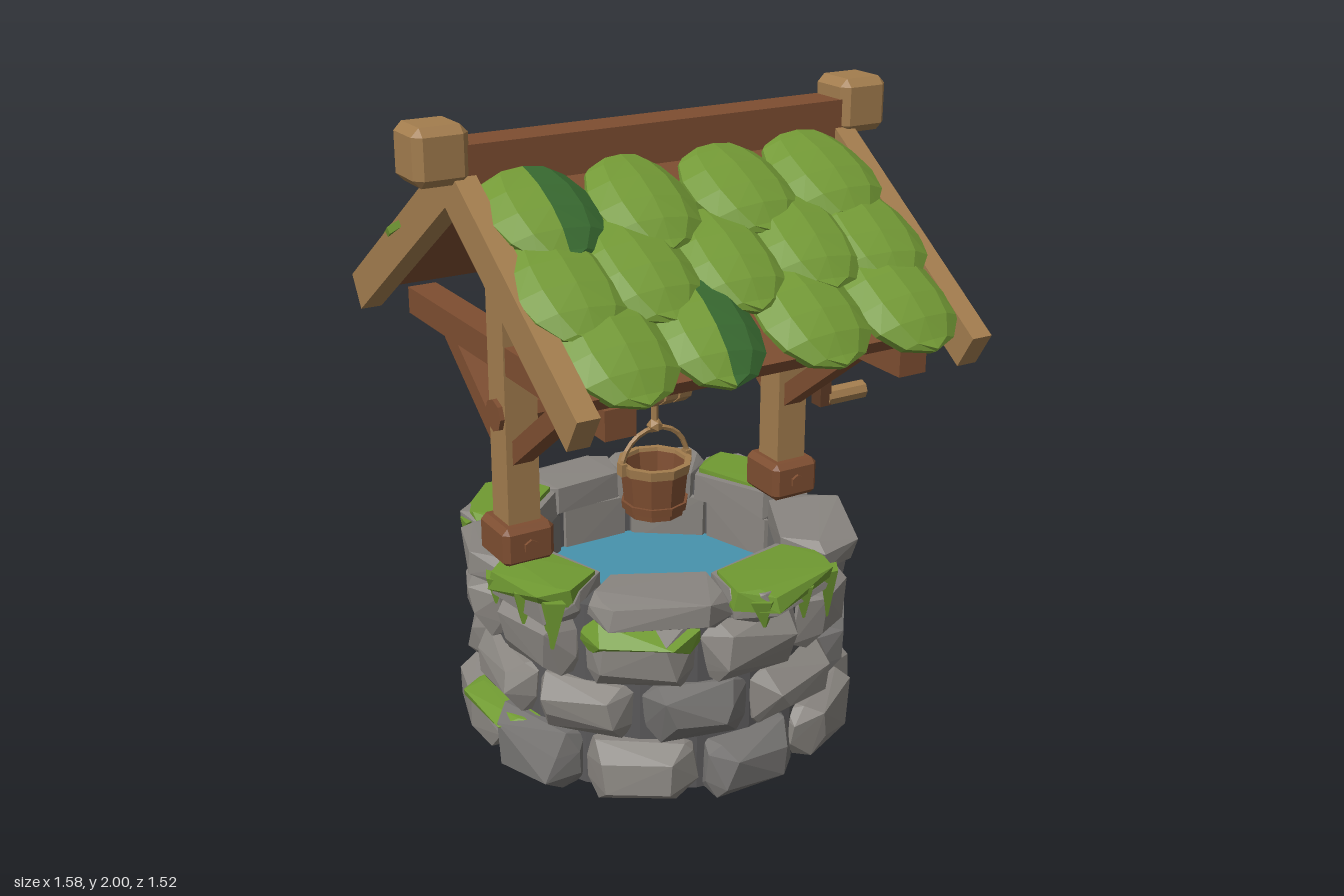
import * as THREE from 'three';
import { ConvexGeometry } from 'three/addons/geometries/ConvexGeometry.js';

const paint = (name, color, side = THREE.FrontSide) => {
  const m = new THREE.MeshStandardMaterial({ color, side });
  m.name = name;
  return m;
};

let seed = 7;
const rand = () => (seed = (seed * 16807) % 2147483647) / 2147483647;
const jit = (a) => (rand() * 2 - 1) * a;

const flat = (geo) => {
  const g = geo.index ? geo.toNonIndexed() : geo;
  g.computeVertexNormals();
  return g;
};

export function createModel() {
  const model = new THREE.Group();
  model.name = 'well';
  const mat = {
    stone: paint('stone', 0x898580),
    stoneDark: paint('darkStone', 0x757371),
    mortar: paint('mortar', 0x5a595a, THREE.DoubleSide),
    moss: paint('moss', 0x709a32),
    leaf: paint('leaf', 0x729835, THREE.DoubleSide),
    leafDark: paint('darkLeaf', 0x396b31, THREE.DoubleSide),
    wood: paint('lightWood', 0xa37d4e, THREE.DoubleSide),
    brown: paint('brownWood', 0x7e4e31, THREE.DoubleSide),
    darkWood: paint('darkWood', 0x5f3c26),
    water: paint('water', 0x4793ad, THREE.DoubleSide),
  };
  const add = (name, geo, material, x = 0, y = 0, z = 0, parent = model) => {
    const m = new THREE.Mesh(geo, material);
    m.name = name;
    m.position.set(x, y, z);
    parent.add(m);
    return m;
  };
  const box = (w, h, d) => new THREE.BoxGeometry(w, h, d);
  const rod = (r, len, n = 8, r2 = r) => flat(new THREE.CylinderGeometry(r, r2, len, n));
  const rodX = (r, len, n = 8) => rod(r, len, n).rotateZ(Math.PI / 2);
  const lathe = (pts, n) => flat(new THREE.LatheGeometry(pts.map(([x, y]) => new THREE.Vector2(x, y)), n));

  // Box with chamfered edges
  const block = (w, h, d, c) => {
    const pts = [];
    for (const x of [-1, 1]) for (const y of [-1, 1]) for (const z of [-1, 1]) for (let k = 0; k < 3; k++) {
      const [cx, cy, cz] = [0, 1, 2].map((i) => (i === k ? 0 : c));
      pts.push(new THREE.Vector3(x * (w / 2 - cx), y * (h / 2 - cy), z * (d / 2 - cz)));
    }
    return new ConvexGeometry(pts);
  };

  // Chunky stone following the ring: cut corners in the middle, small worn face outside.
  // Each entry is radius, share of the half width, share of the half height, jitter.
  const stoneGeo = (a, half, y0, y1, rIn, rOut, face = 0.45) => {
    const pts = [], cy = (y0 + y1) / 2, hy = (y1 - y0) / 2;
    const layers = [[rIn, 0.95, 0.88, 0.2], [rOut - 0.1, 0.96, 0.8, 0.3], [rOut - 0.065, 1, 0.5, 0.7],
      [rOut - 0.05, 0.74, 1, 0.7], [rOut, 0.55, face, 1]];
    layers.forEach(([r, w, h, j]) => {
      for (const su of [-1, 1]) for (const sv of [-1, 1]) {
        const t = a + su * half * w + jit(0.04 * j), rr = r + jit(0.015 * j);
        const y = THREE.MathUtils.clamp(cy + sv * hy * h + jit(0.03 * j), y0, y1);
        pts.push(new THREE.Vector3(Math.sin(t) * rr, y, Math.cos(t) * rr));
      }
    });
    return new ConvexGeometry(pts);
  };

  // Mortar core and water
  add('mortarCore', lathe([[0.43, 0.02], [0.54, 0.02], [0.54, 0.62], [0.43, 0.62], [0.43, 0.02]], 20), mat.mortar);
  add('water', new THREE.CircleGeometry(0.44, 20).rotateX(-Math.PI / 2), mat.water, 0, 0.43);

  // Three staggered courses of stones
  const N = 10;
  [[0, 0.2, 0.625, 0], [0.195, 0.385, 0.605, 0.5], [0.38, 0.575, 0.605, 0]].forEach(([y0, y1, r, off], c) => {
    for (let i = 0; i < N; i++) {
      const a = ((i + off) / N) * Math.PI * 2;
      add('wallStone', stoneGeo(a, 0.3 + jit(0.015), y0, y1, 0.415, r), (i * 3 + c) % 4 ? mat.stone : mat.stoneDark);
    }
  });

  // Rim stones, some under a moss cover with hanging drips
  const deg = Math.PI / 180;
  const mossy = [14, 110, 222, 287];
  [14, 63, 110, 150, 186, 222, 254, 287, 330].forEach((d) => {
    const a = d * deg, half = (d < 120 || d > 320 ? 22 : 18) * deg;
    add('rimStone', stoneGeo(a, half, 0.565, 0.667, 0.4, 0.62, 0.6), mat.stone);
    if (!mossy.includes(d)) return;
    add('rimMoss', stoneGeo(a, half * 0.95, 0.605, 0.674, 0.42, 0.63, 0.7), mat.moss);
    [[-0.6, 0.09], [0.08, 0.11], [0.65, 0.16]].forEach(([u, len]) => {
      const g = rod(0.052, len, 4, 0.006).scale(1, 1, 0.6).translate(0, 0.645 - len / 2, 0.6);
      add('mossDrip', g.rotateY(a + u * half), mat.moss);
    });
  });

  // Moss patches lying over wall stones
  [[-36, 0.455, 0.58, 0.612], [90, 0.1, 0.205, 0.632], [270, 0.1, 0.205, 0.632], [207, 0.28, 0.39, 0.612]].forEach(([d, y0, y1, r]) => {
    add('mossPatch', stoneGeo(d * deg, 0.32, y0 + 0.02, y1, 0.5, r, 0.3), mat.moss);
  });

  // Wooden frame: posts, feet, tie beams, braces, rafters and ridge knobs
  const frame = new THREE.Group();
  frame.name = 'frame';
  frame.position.x = -0.008;
  model.add(frame);
  const H = 1.9, slope = 0.695, th = Math.atan(slope), eave = H - 0.75 * slope;
  const chevron = new THREE.Shape([[0, H], [-0.75, eave], [-0.69, 1.28], [0, 1.76], [0.69, 1.28], [0.75, eave]]
    .map(([x, y]) => new THREE.Vector2(x, y)));
  for (const s of [-1, 1]) {
    const x = 0.48 * s;
    add('post', box(0.105, 1.2, 0.105), mat.wood, x, 1.26, 0, frame);
    add('postFoot', block(0.17, 0.125, 0.18, 0.018), mat.brown, x, 0.727, 0, frame);
    add('tieBeam', box(0.095, 0.086, 1.275), mat.brown, x, 1.302, 0, frame);
    for (const f of [-1, 1]) {
      add('footBolt', rod(0.024, 0.014, 6).rotateX(Math.PI / 2), mat.brown, x, 0.725, 0.092 * f, frame);
      const brace = add('brace', box(0.065, 0.06, 0.47), mat.brown, x, 1.125, 0.195 * f, frame);
      brace.rotation.x = -0.65 * f;
    }
    const raft = flat(new THREE.ExtrudeGeometry(chevron, { depth: 0.068, bevelEnabled: false }));
    add('rafter', raft.translate(0, 0, -0.034).rotateY(Math.PI / 2), mat.wood, 0.634 * s, 0, 0, frame);
    add('ridgeKnob', block(0.166, 0.165, 0.165, 0.024), mat.wood, 0.7 * s, 1.9175, 0, frame);
  }
  add('ridgeBeam', box(1.3, 0.12, 0.128), mat.brown, 0, 1.88, 0, frame);

  // Half of a folded scale: raised spine drooping to the edge and tip, with an underside
  const W = [0.08, 0.13, 0.16, 0.165, 0.145, 0.09, 0];
  const T = [0, 0.12, 0.32, 0.55, 0.76, 0.92, 1];
  const scaleHalf = (side, len, wide, lift) => {
    const pos = [], idx = [];
    T.forEach((t, i) => {
      const x = side * W[i] * wide, z = t * len;
      const y = lift * t - 0.016 - (t > 0.9 ? 0.012 : 0);
      const dome = 0.04 * Math.sin(Math.PI * Math.min(1, t * 0.9 + 0.12));
      pos.push(0, y + dome, z, x * 0.6, y + dome * 0.65, z, x, y - 0.012, z, x, y - 0.036, z - 0.012 * t, 0, y - 0.03, z - 0.012 * t);
      if (!i) return;
      for (let k = 0; k < 4; k++) {
        const a = (i - 1) * 5 + k, b = a + 5;
        if (side > 0) idx.push(a, b, b + 1, a, b + 1, a + 1);
        else idx.push(a, b + 1, b, a, a + 1, b + 1);
      }
    });
    const g = new THREE.BufferGeometry();
    g.setAttribute('position', new THREE.Float32BufferAttribute(pos, 3));
    g.setIndex(idx);
    return flat(g);
  };

  // Two roof sides, each a board panel with three rows of scales
  const rows = [
    { z: 0.525, lift: 0.022, xs: [-0.455, -0.165, 0.155, 0.45] },
    { z: 0.295, lift: 0.045, xs: [-0.5, -0.28, 0.01, 0.28, 0.5] },
    { z: 0.06, lift: 0.05, xs: [-0.46, -0.15, 0.16, 0.455] },
  ];
  const darkHalves = [['0,1', '2,0'], ['0,1', '0,3']];
  [0, 1].forEach((k) => {
    const turn = new THREE.Group();
    turn.name = k ? 'backRoof' : 'frontRoof';
    turn.rotation.y = k * Math.PI;
    frame.add(turn);
    const pitch = new THREE.Group();
    pitch.name = 'roofSlope';
    pitch.position.y = H;
    pitch.rotation.x = th;
    turn.add(pitch);
    add('roofPanel', box(1.21, 0.05, 0.83), mat.brown, 0, -0.056, 0.425, pitch);
    rows.forEach((row, r) => row.xs.forEach((x, i) => {
      const len = 0.385 + jit(0.012), wide = 0.97 + jit(0.05), z = row.z + jit(0.012), yaw = jit(0.06);
      for (const side of [-1, 1]) {
        const dark = side > 0 && darkHalves[k].includes(r + ',' + i);
        const geo = scaleHalf(side, len, wide, row.lift);
        const m = add('roofScale', geo, dark ? mat.leafDark : mat.leaf, x, 0.004 * (i % 2), z, pitch);
        m.rotation.y = yaw;
      }
    }));
  });

  // Windlass with rope coils and crank
  const Y = 1.125;
  add('axle', rodX(0.05, 1.11), mat.brown, 0, Y);
  add('axleCollar', rodX(0.072, 0.06), mat.darkWood, 0.567, Y);
  add('axleStub', rodX(0.04, 0.05), mat.darkWood, 0.61, Y);
  add('crankArm', box(0.042, 0.215, 0.05), mat.darkWood, 0.624, 1.04);
  add('crankHandle', rodX(0.032, 0.15), mat.wood, 0.713, 0.955);
  for (let i = 0; i < 4; i++) add('ropeCoil', rodX(0.072, 0.042, 10), mat.wood, -0.08 + i * 0.049, Y);
  add('rope', rod(0.011, 0.1, 6), mat.wood, -0.008, 1.03);
  add('knot', flat(new THREE.IcosahedronGeometry(0.026, 0)), mat.wood, -0.008, 0.985);

  // Bucket with bands and a curved handle
  const bucket = new THREE.Group();
  bucket.name = 'bucket';
  bucket.position.set(-0.008, 0, 0);
  model.add(bucket);
  const pail = [[0, 0.697], [0.093, 0.697], [0.11, 0.86], [0.094, 0.86], [0.08, 0.72], [0, 0.72]];
  add('pail', lathe(pail, 10), mat.brown, 0, 0, 0, bucket);
  const band = (r0, r1, y0, y1) => lathe([[r0 - 0.02, y0], [r0, y0], [r1, y1], [r1 - 0.02, y1], [r0 - 0.02, y0]], 10);
  add('topBand', band(0.114, 0.118, 0.842, 0.872), mat.wood, 0, 0, 0, bucket);
  add('lowBand', band(0.104, 0.107, 0.717, 0.742), mat.brown, 0, 0, 0, bucket);
  add('bucketHandle', flat(new THREE.TorusGeometry(0.117, 0.009, 5, 12, Math.PI)), mat.wood, 0, 0.86, 0, bucket);
  for (const s of [-1, 1]) add('handleLug', box(0.02, 0.04, 0.03), mat.wood, 0.116 * s, 0.862, 0, bucket);
  return model;
}
